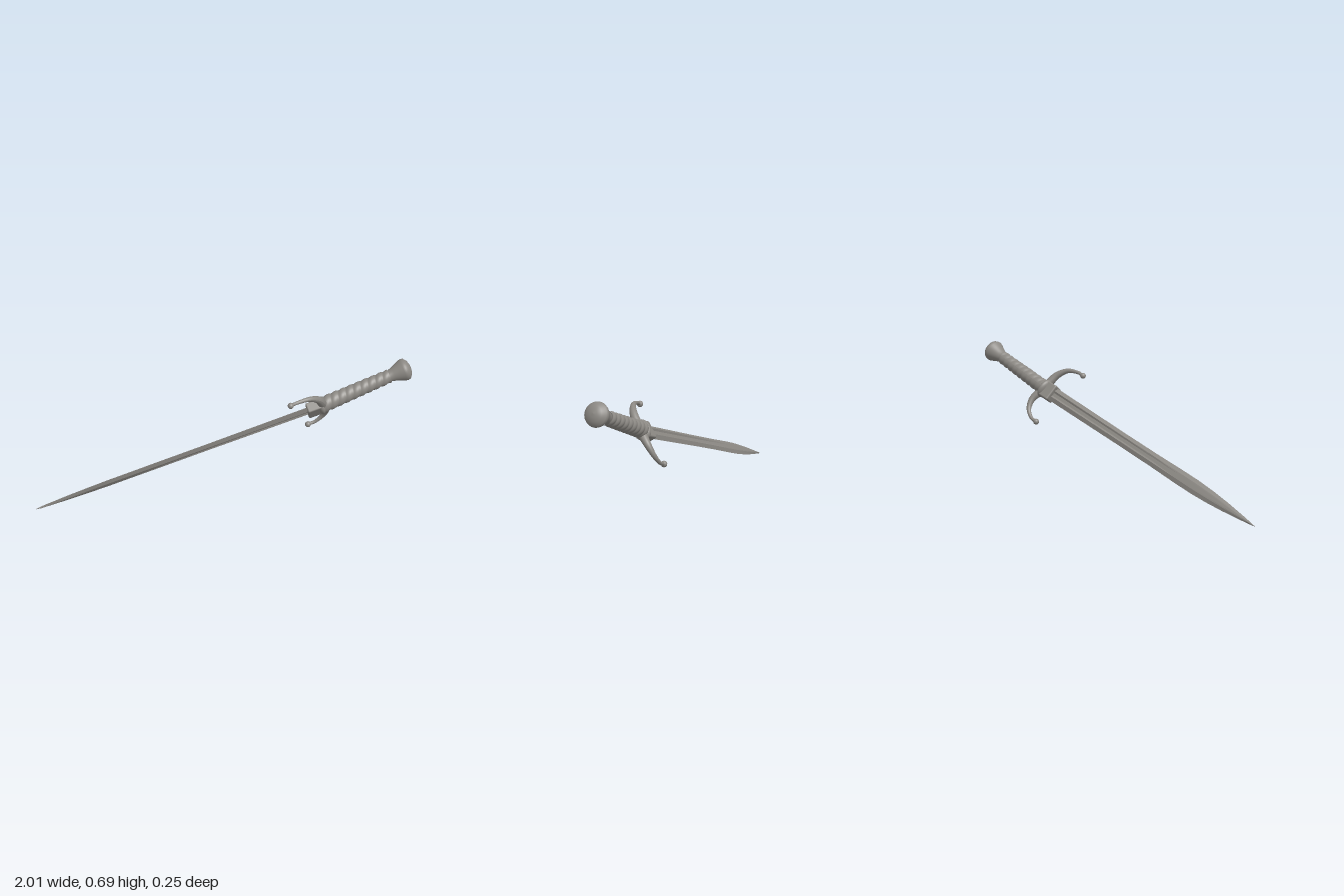
import * as THREE from 'three';
import { toCreasedNormals } from 'three/addons/utils/BufferGeometryUtils.js';
import { RoundedBoxGeometry } from 'three/addons/geometries/RoundedBoxGeometry.js';

const V = (x, y, z) => new THREE.Vector3(x, y, z);
const HEART = V(0.48, 0.455, -0.008); // where blade meets hilt
const ACROSS = V(-0.217, 0.769, 0.603); // width direction of the blade

// Group at the heart of the weapon: y runs along dir, x across the blade
function frame(name, dir) {
  const y = dir.clone().normalize();
  const x = ACROSS.clone().addScaledVector(y, -ACROSS.dot(y)).normalize();
  const z = x.clone().cross(y);
  const g = new THREE.Group();
  g.name = name;
  g.quaternion.setFromRotationMatrix(new THREE.Matrix4().makeBasis(x, y, z));
  g.position.copy(HEART);
  return g;
}

// Double-edged blade with a fuller that fades out toward the tip
function bladeGeometry() {
  // distance from hilt, half width, half thickness, fuller floor
  const stations = [
    [-0.02, 0.040, 0.013, 0.45], [0.3, 0.038, 0.012, 0.5], [0.6, 0.036, 0.011, 0.6],
    [0.85, 0.036, 0.011, 0.75], [1.02, 0.038, 0.010, 1], [1.14, 0.038, 0.010, 1.05],
    [1.25, 0.033, 0.009, 1.1], [1.35, 0.025, 0.008, 1.15], [1.45, 0.014, 0.006, 1.2],
    [1.52, 0.005, 0.004, 1.2], [1.549, 0.0005, 0.0005, 1.2]];
  const pos = [], idx = [];
  for (const [y, w, t, f] of stations) {
    const half = [[1, 0], [0.45, 1], [0.22, f], [-0.22, f], [-0.45, 1]];
    for (const s of [1, -1]) for (const [x, z] of half) pos.push(s * x * w, y, s * z * t);
  }
  const n = 10;
  for (let k = 0; k < stations.length - 1; k++) {
    for (let i = 0; i < n; i++) {
      const a = k * n + i, b = k * n + (i + 1) % n;
      idx.push(a, a + n, b, b, a + n, b + n);
    }
  }
  const g = new THREE.BufferGeometry();
  g.setAttribute('position', new THREE.Float32BufferAttribute(pos, 3));
  g.setIndex(idx);
  return toCreasedNormals(g, 0.15);
}

// Grip wound with a two-strand helical cord
function gripGeometry(from, to) {
  const len = to - from, pitch = 0.042;
  const g = new THREE.CylinderGeometry(1, 1, len, 40, 120, true);
  g.translate(0, (from + to) / 2, 0);
  const p = g.attributes.position;
  for (let i = 0; i < p.count; i++) {
    const x = p.getX(i), y = p.getY(i), z = p.getZ(i);
    const cord = Math.abs(Math.sin(Math.PI * y / pitch + Math.atan2(x, z)));
    const r = THREE.MathUtils.lerp(0.039, 0.032, (y - from) / len) + 0.005 * cord;
    p.setXYZ(i, x * r, y, z * r);
  }
  g.computeVertexNormals();
  return g;
}

// Tube that swells toward the middle of its path
function swellingTube(path, rEnd, rMid) {
  const steps = 80, sides = 16;
  const g = new THREE.TubeGeometry(path, steps, 1, sides);
  const p = g.attributes.position, v = V(0, 0, 0);
  for (let i = 0; i < p.count; i++) {
    const t = Math.floor(i / (sides + 1)) / steps;
    const c = path.getPointAt(t);
    const r = rEnd + (rMid - rEnd) * Math.pow(Math.sin(Math.PI * t), 2.5);
    v.fromBufferAttribute(p, i).sub(c).multiplyScalar(r).add(c);
    p.setXYZ(i, v.x, v.y, v.z);
  }
  g.computeVertexNormals();
  return g;
}

export function createModel() {
  const steel = new THREE.MeshStandardMaterial({ color: 0x8c8984 });
  steel.name = 'greySteel';
  const model = new THREE.Group();
  model.name = 'dagger';
  const add = (parent, name, geo) => {
    const m = new THREE.Mesh(geo, steel);
    m.name = name;
    parent.add(m);
    return m;
  };

  // Blade and the collar that clasps its root
  const bladeGroup = frame('bladeGroup', V(-1.48, -0.45, 0.058));
  add(bladeGroup, 'blade', bladeGeometry());
  add(bladeGroup, 'collar', new RoundedBoxGeometry(0.094, 0.085, 0.056, 2, 0.008))
    .position.y = -0.01;
  model.add(bladeGroup);

  // Grip and flared pommel, tilted slightly from the blade
  const hilt = frame('hilt', V(0.464, 0.173, -0.028));
  add(hilt, 'grip', gripGeometry(0.035, 0.435));
  const profile = [[0, 0.42], [0.032, 0.42], [0.031, 0.437], [0.037, 0.46], [0.049, 0.49],
    [0.057, 0.51], [0.060, 0.522], [0.056, 0.535], [0.038, 0.549], [0.018, 0.555], [0, 0.557]];
  add(hilt, 'pommel', new THREE.LatheGeometry(
    profile.map(([r, y]) => new THREE.Vector2(r, y)), 40));
  model.add(hilt);

  // Curved crossguard sweeping toward the blade, with ball ends
  const points = [
    V(0.335, 0.553, 0.108), V(0.37, 0.566, 0.105), V(0.44, 0.570, 0.085),
    V(0.49, 0.545, 0.055), V(0.516, 0.51, 0.025), V(0.532, 0.468, -0.008),
    V(0.552, 0.443, -0.038), V(0.567, 0.41, -0.07), V(0.558, 0.36, -0.098),
    V(0.52, 0.318, -0.109), V(0.48, 0.303, -0.108)];
  const guard = new THREE.Group();
  guard.name = 'crossguard';
  add(guard, 'guardArms', swellingTube(new THREE.CatmullRomCurve3(points), 0.009, 0.024));
  for (const end of [points[0], points[points.length - 1]]) {
    add(guard, 'guardBall', new THREE.SphereGeometry(0.016, 20, 14)).position.copy(end);
  }
  // Swollen centre of the guard wrapped around the collar
  const boss = add(hilt, 'guardBoss', new THREE.SphereGeometry(1, 28, 18));
  boss.scale.set(0.055, 0.024, 0.046);
  boss.position.y = 0.045;
  model.add(guard);
  return model;
}
